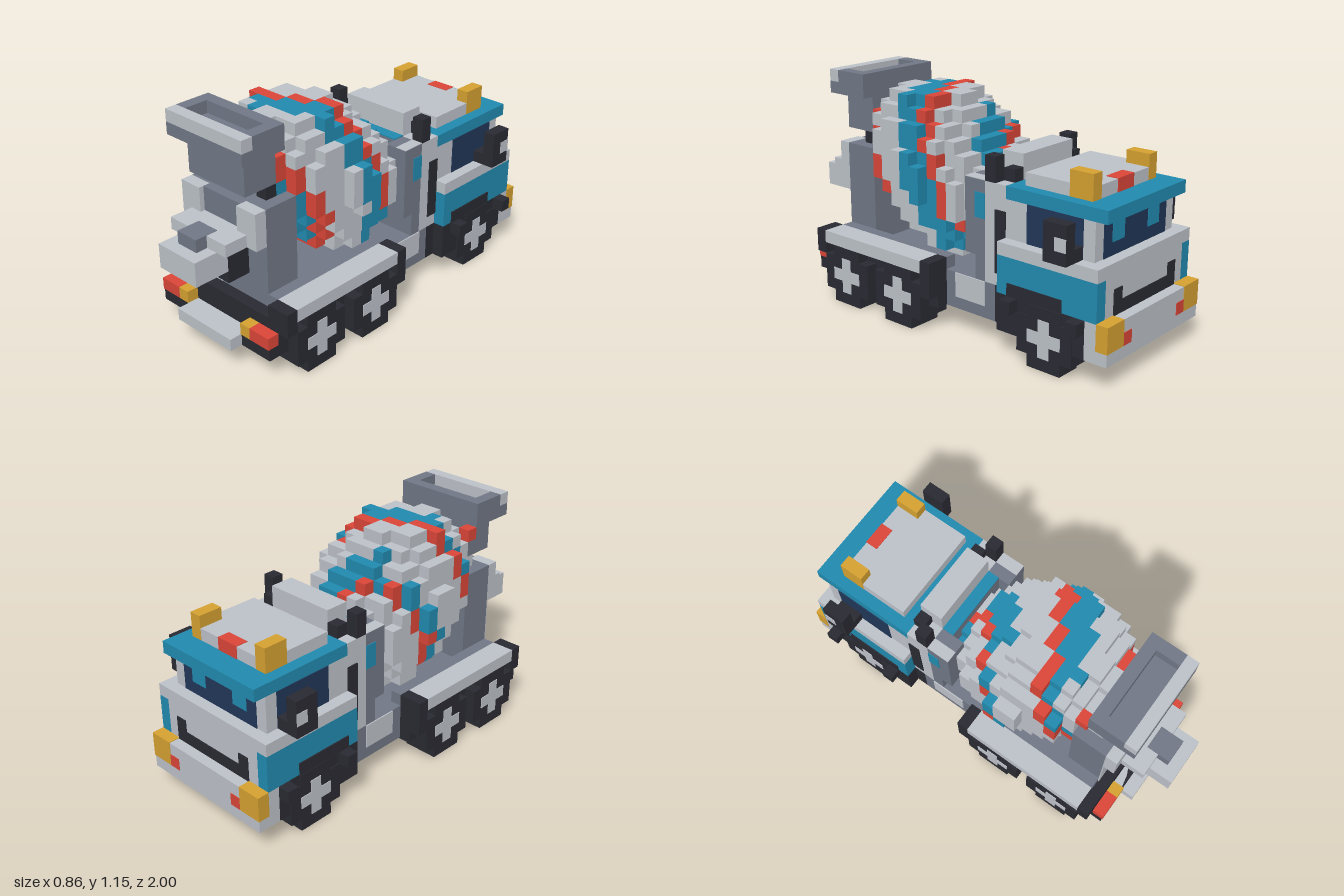
import * as THREE from 'three';

const U = 2 / 33; // one block

export function createModel() {
  const group = new THREE.Group();
  const mat = (name, color) => {
    const m = new THREE.MeshStandardMaterial({ color });
    m.name = name;
    return m;
  };
  const light = mat('light grey', 0xbec3ca), dark = mat('dark grey', 0x717886);
  const black = mat('black', 0x2a2a33), teal = mat('teal', 0x218bb0);
  const red = mat('red', 0xdb4638), yellow = mat('amber', 0xd6a231);
  const glass = mat('window blue', 0x213758);

  // Box in block units: x from the centre line, y up, z counted from the cab end
  const box = (name, m, x0, x1, y0, y1, z0, z1) => {
    const mesh = new THREE.Mesh(
      new THREE.BoxGeometry((x1 - x0) * U, (y1 - y0) * U, (z1 - z0) * U), m);
    mesh.position.set((x0 + x1) / 2 * U, (y0 + y1) / 2 * U, (z0 + z1) / 2 * U - 1);
    mesh.name = name;
    group.add(mesh);
  };
  const mid = (name, m, w, ...r) => box(name, m, -w, w, ...r);
  const pair = (name, m, x0, x1, ...r) => {
    box(name + 'Left', m, x0, x1, ...r);
    box(name + 'Right', m, -x1, -x0, ...r);
  };

  // Wheels with cross hubs
  for (const [z, out] of [[3, 6.1], [17, 7], [23, 7]]) {
    pair('tyreTall', black, 4, out, 0, 4.95, z + 1, z + 4);
    pair('tyreWide', black, 4, out, 1, 4, z, z + 5);
    pair('hubBar', light, out, out + 0.06, 2, 3, z + 1, z + 4);
    pair('hubPost', light, out, out + 0.06, 1, 4, z + 2, z + 3);
    mid('axle', black, 4, 1, 2, z + 1, z + 4);
  }

  // Chassis, side tanks and rear mudguards
  mid('cabChassis', black, 6, 2, 5, 2, 10);
  mid('cabChassisRear', black, 5, 2, 5, 10, 11);
  mid('middleChassis', dark, 5, 2, 5, 11, 16);
  mid('middleUnderside', black, 4.9, 1.95, 2, 11, 16);
  pair('tank', light, 5, 5.1, 3, 5, 12, 15);
  mid('rearChassis', black, 6, 2, 4.9, 16, 29);
  mid('rearDeck', dark, 5, 4.9, 5, 16, 28);
  pair('mudguardInner', dark, 4, 5, 5, 6, 16, 28);
  pair('mudguard', light, 5, 7, 4.95, 6, 17, 28);
  pair('mudguardFrontEnd', black, 5, 7, 3, 6, 16, 17);
  pair('mudguardRearEnd', black, 5, 7, 4, 6, 28, 29);

  // Rear bumper and lamps
  pair('tailLamp', red, 4, 6, 3, 4, 29, 30);
  pair('tailIndicator', yellow, 3, 4, 3, 4, 29, 30);
  mid('rearBumperMount', black, 6, 2, 3, 29, 29.9);
  mid('rearBumper', light, 3, 2, 3, 29, 31);

  // Front bumper and lamps
  mid('frontBumper', light, 6, 2, 5, 0.05, 2);
  pair('headLamp', yellow, 4, 6.04, 3, 5.05, 0, 1);
  pair('bumperReflector', red, 3, 4, 3, 4, 0, 0.06);

  // Cab body
  mid('cabBody', light, 5, 5, 9, 1, 10);
  pair('cabDoor', teal, 5, 6, 5, 8, 1, 10);
  pair('cabSill', light, 5, 6, 8, 9, 1, 10);
  pair('wheelArch', black, 6, 6.1, 5, 6, 4, 9);
  pair('wheelArchRear', black, 6, 7, 4, 5, 8, 9);
  pair('wheelArchFront', black, 6, 7, 4, 5, 2, 3);
  mid('grille', black, 4, 5, 6, 0.92, 1);
  pair('grilleCorner', black, 3, 4, 6, 7, 0.92, 1);
  mid('cabUpper', light, 5, 9, 12, 2, 10);
  mid('windshield', glass, 4, 9, 12, 1.95, 2);
  pair('windshieldReflection', teal, 1.5, 3, 10, 12, 1.92, 1.95);
  pair('sideWindow', glass, 5, 5.06, 9, 12, 3, 8);

  // Roof
  mid('roof', teal, 5, 12, 13, 1, 10);
  mid('roofPanel', light, 4, 13, 14, 3, 9);
  pair('beacon', yellow, 3, 4.02, 13, 15, 2.98, 5);
  mid('roofMarker', red, 1, 13, 14.05, 2.95, 4);

  // Mirrors
  pair('mirrorArm', black, 5, 6, 9, 10, 3, 5);
  pair('mirror', black, 6, 7, 9, 12, 3, 5);
  pair('mirrorPlate', light, 7, 7.05, 10, 11, 3, 4);

  // Bulkhead behind the cab
  mid('bulkhead', light, 5, 5, 13, 10, 12);
  mid('airBox', light, 3, 13, 15, 10, 12);
  mid('drumSupport', dark, 5, 5, 13, 12, 13);
  pair('drumCradle', dark, 3, 5, 7, 13, 13, 14);
  pair('cradleCap', light, 4, 5, 13, 13.05, 12, 14);
  mid('supportCap', teal, 3, 13, 13.1, 12, 13);
  pair('supportStripe', teal, 5, 5.06, 10, 12, 12, 13);
  pair('exhaustTop', black, 4, 5, 13, 15, 11, 12);
  pair('exhaustBracket', black, 3, 4, 13, 14, 10, 11);
  pair('exhaustPipe', black, 5, 5.1, 6, 11, 10, 11);

  // Rear drum stand
  mid('rearStand', dark, 4, 5, 13, 25, 28);
  pair('standPost', light, 2, 4, 11, 13, 28, 29);
  pair('standPostEdge', light, 3, 4, 10, 11, 28, 29);
  box('standPanel', light, -4, -3, 5, 10, 28, 28.1);
  box('standPanelFoot', light, -3, -1, 5, 6, 28, 28.1);
  box('standPanelStep', light, -3, -2, 8, 9, 28, 28.1);
  mid('standBox', dark, 2, 11, 13, 28, 28.6);
  box('neckFoot', black, 2, 3, 13, 14, 26, 27);
  box('neckFootPale', light, -3, -1, 13, 14, 26, 27);

  // Hopper: neck, rim and open top
  mid('hopperNeck', dark, 3, 14, 17, 26, 29);
  mid('hopperFloor', dark, 4, 17, 18, 26, 30);
  pair('hopperSide', dark, 3, 4, 18, 19, 26, 29);
  mid('hopperFrontRim', dark, 3, 18, 19, 26, 27);
  mid('hopperRearRim', light, 4, 18, 19, 29, 30);

  // Discharge chute
  mid('chuteHinge', black, 2, 7, 10, 28, 30);
  mid('chute', light, 2, 8, 10, 30, 33);
  mid('chuteCollar', light, 3, 10, 11, 28, 31);
  mid('chuteCap', dark, 1, 10, 11.04, 30, 32);

  // Mixer drum: tilted block ellipsoid with a two-start helical stripe
  const inside = (x, y, z) => {
    if (y > 18) return false;
    const dy = y - 12, dz = z - 19.7;
    const along = Math.abs(dz + dy) / Math.SQRT2, across = Math.abs(dy - dz) / Math.SQRT2;
    return (along / 7.5) ** 2.5 + (across / 5.05) ** 2.5 + (x / 5.6) ** 2 <= 1;
  };
  const stripe = (x, y, z) => {
    const turn = z - 20.5 + 2.1 * Math.atan2(x, y - 12) + 0.5;
    const phase = ((turn % 6.2) + 6.2) % 6.2;
    return phase < 1 ? 1 : phase < (x < -2 ? 2 : 3.2) ? 2 : 0;
  };
  const faces = [[], [], []];
  const dirs = [[1, 0, 0], [-1, 0, 0], [0, 1, 0], [0, -1, 0], [0, 0, 1], [0, 0, -1]];
  for (let x = -6.5; x < 7; x++) for (let y = 5.5; y < 19; y++) for (let z = 11.5; z < 28; z++) {
    if (!inside(x, y, z)) continue;
    for (const d of dirs) {
      if (inside(x + d[0], y + d[1], z + d[2])) continue;
      const n = new THREE.Vector3(...d);
      const a = new THREE.Vector3(d[1], d[2], d[0]), b = n.clone().cross(a);
      const corner = (s, t) => new THREE.Vector3(x, y, z).addScaledVector(n, 0.5)
        .addScaledVector(a, s / 2).addScaledVector(b, t / 2).multiplyScalar(U);
      const [p, q, r, s] = [corner(-1, -1), corner(1, -1), corner(1, 1), corner(-1, 1)];
      faces[stripe(x, y, z)].push(p, q, r, p, r, s);
    }
  }
  [['drumShell', light], ['drumRedStripe', red], ['drumTealStripe', teal]].forEach(([name, m], i) => {
    const g = new THREE.BufferGeometry().setFromPoints(faces[i]);
    g.translate(0, 0, -1);
    g.computeVertexNormals();
    const mesh = new THREE.Mesh(g, m);
    mesh.name = name;
    group.add(mesh);
  });

  // Stripe ends on the drum mouth
  box('drumMouthRed', red, -4, -3, 16, 17, 25, 26);
  box('drumMouthRedPlate', red, -1, 0, 13, 14, 26, 26.1);
  box('drumMouthTealPlate', teal, 0, 2, 13, 14, 26, 26.1);

  return group;
}
